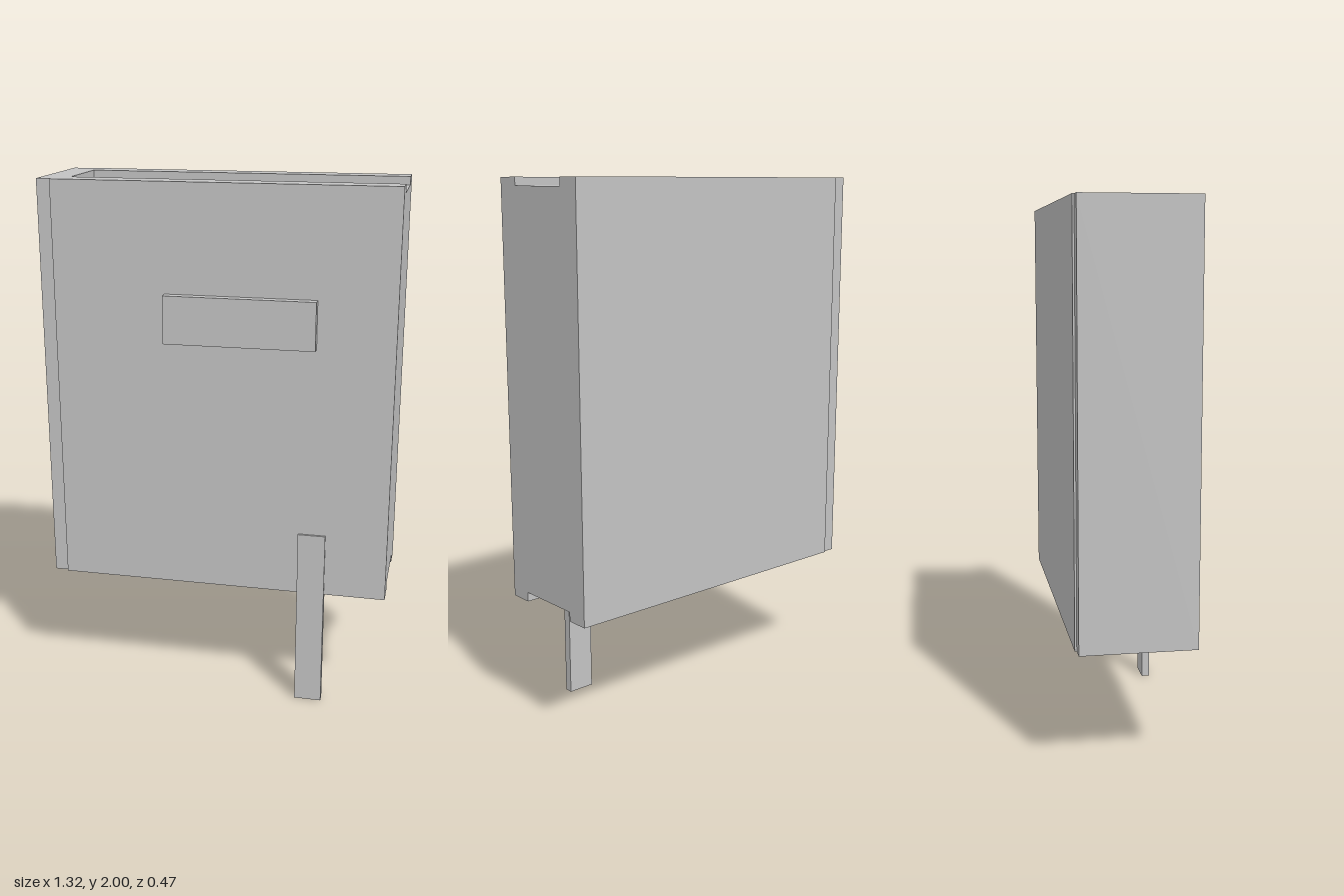
import * as THREE from 'three';

export function createModel() {
  const model = new THREE.Group();
  model.name = 'book';
  const grey = new THREE.MeshStandardMaterial({ color: 0xc3c3c3 });
  grey.name = 'lightGrey';

  const add = (name, geometry) => {
    const mesh = new THREE.Mesh(geometry, grey);
    mesh.name = name;
    model.add(mesh);
  };
  // Box given by its lower and upper limits on each axis
  const box = (name, [x0, x1], [y0, y1], [z0, z1]) =>
    add(name, new THREE.BoxGeometry(x1 - x0, y1 - y0, z1 - z0)
      .translate((x0 + x1) / 2, (y0 + y1) / 2, (z0 + z1) / 2));

  // Binding: two covers joined by a slightly narrower spine, as [x, z] outline
  const bottom = 0.46, top = 2;
  const outline = [
    [-0.658, 0.191], [-0.605, 0.191], [-0.605, 0.201], [0.658, 0.201],
    [0.658, 0.113], [-0.553, 0.113], [-0.553, -0.15], [0.658, -0.15],
    [0.658, -0.236], [-0.605, -0.236], [-0.605, -0.229], [-0.658, -0.229],
  ];
  const shape = new THREE.Shape(outline.map(([x, z]) => new THREE.Vector2(x, -z)));
  add('binding', new THREE.ExtrudeGeometry(shape, { depth: top - bottom, bevelEnabled: false })
    .rotateX(-Math.PI / 2).translate(0, bottom, 0));

  // Page block, recessed at top and bottom, with a slit along the spine
  box('pages', [-0.533, 0.658], [0.495, 1.97], [-0.15, 0.113]);

  // Raised title plate and hanging bookmark
  box('titlePlate', [-0.185, 0.374], [1.422, 1.6], [0.201, 0.236]);
  box('bookmark', [0.322, 0.426], [0, 0.703], [0.178, 0.209]);

  return model;
}
